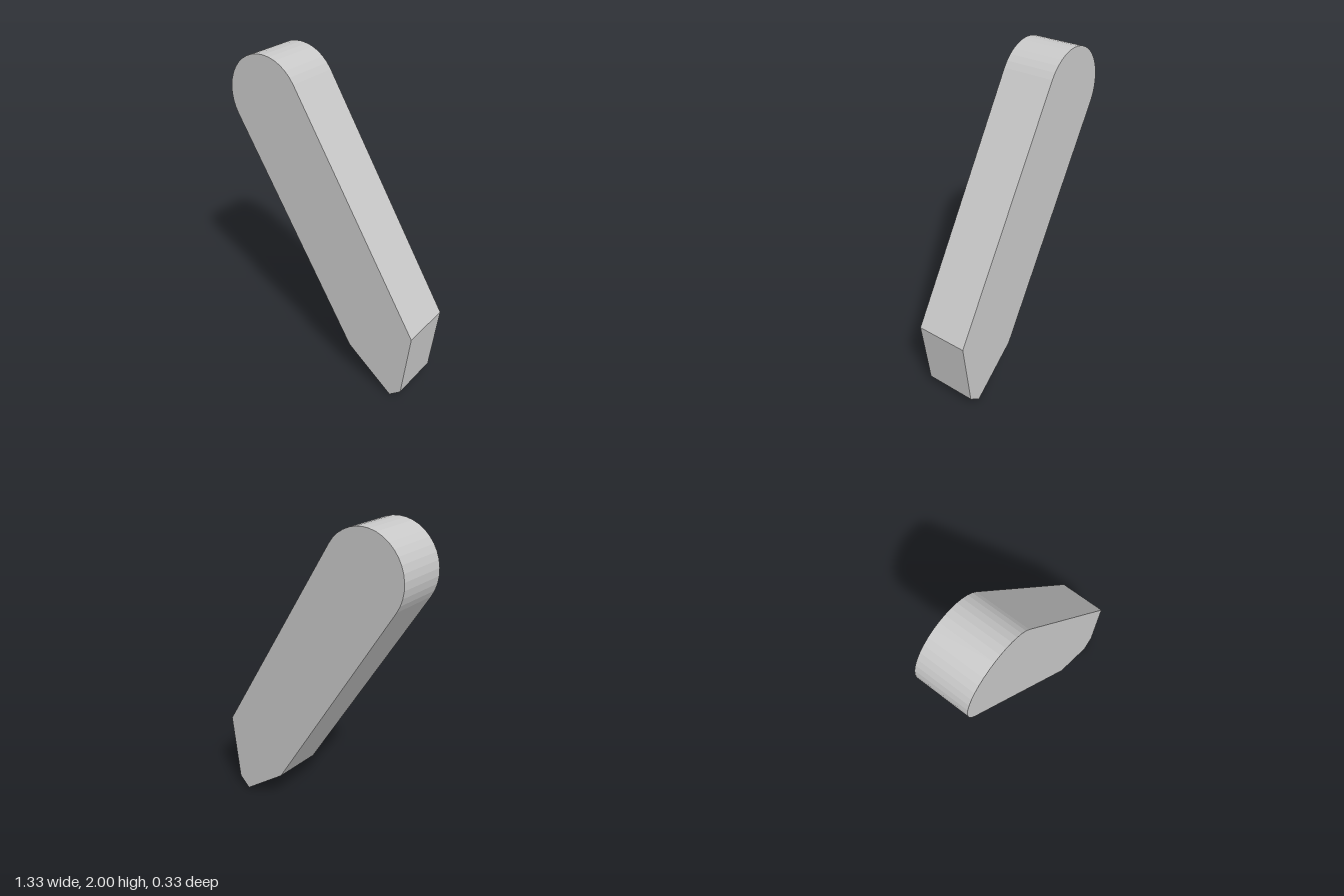
import * as THREE from 'three';

export function createModel() {
  const group = new THREE.Group();
  group.name = 'slantedPeg';

  const lightGrey = new THREE.MeshStandardMaterial({ color: 0xc8c8c8 });
  lightGrey.name = 'light grey';

  // Slanted bar outline: blunt point at the bottom, round end at the top
  const radius = 0.263, cx = -0.404, cy = 1.737;
  const tilt = THREE.MathUtils.degToRad(32);
  const arcSteps = 19, depth = 0.326;

  const outline = [[0.22, 0.24], [0.538, 0], [0.615, 0.068], [0.667, 0.519]]
    .map(([x, y]) => new THREE.Vector2(x, y));
  for (let i = 0; i <= arcSteps; i++) {
    const a = tilt + (Math.PI * i) / arcSteps;
    outline.push(new THREE.Vector2(cx + radius * Math.cos(a), cy + radius * Math.sin(a)));
  }

  // Straight extrusion, centred front to back
  const geometry = new THREE.ExtrudeGeometry(new THREE.Shape(outline), { depth, bevelEnabled: false });
  geometry.translate(0, 0, -depth / 2);

  const bar = new THREE.Mesh(geometry, lightGrey);
  bar.name = 'pointedBar';
  group.add(bar);
  return group;
}
